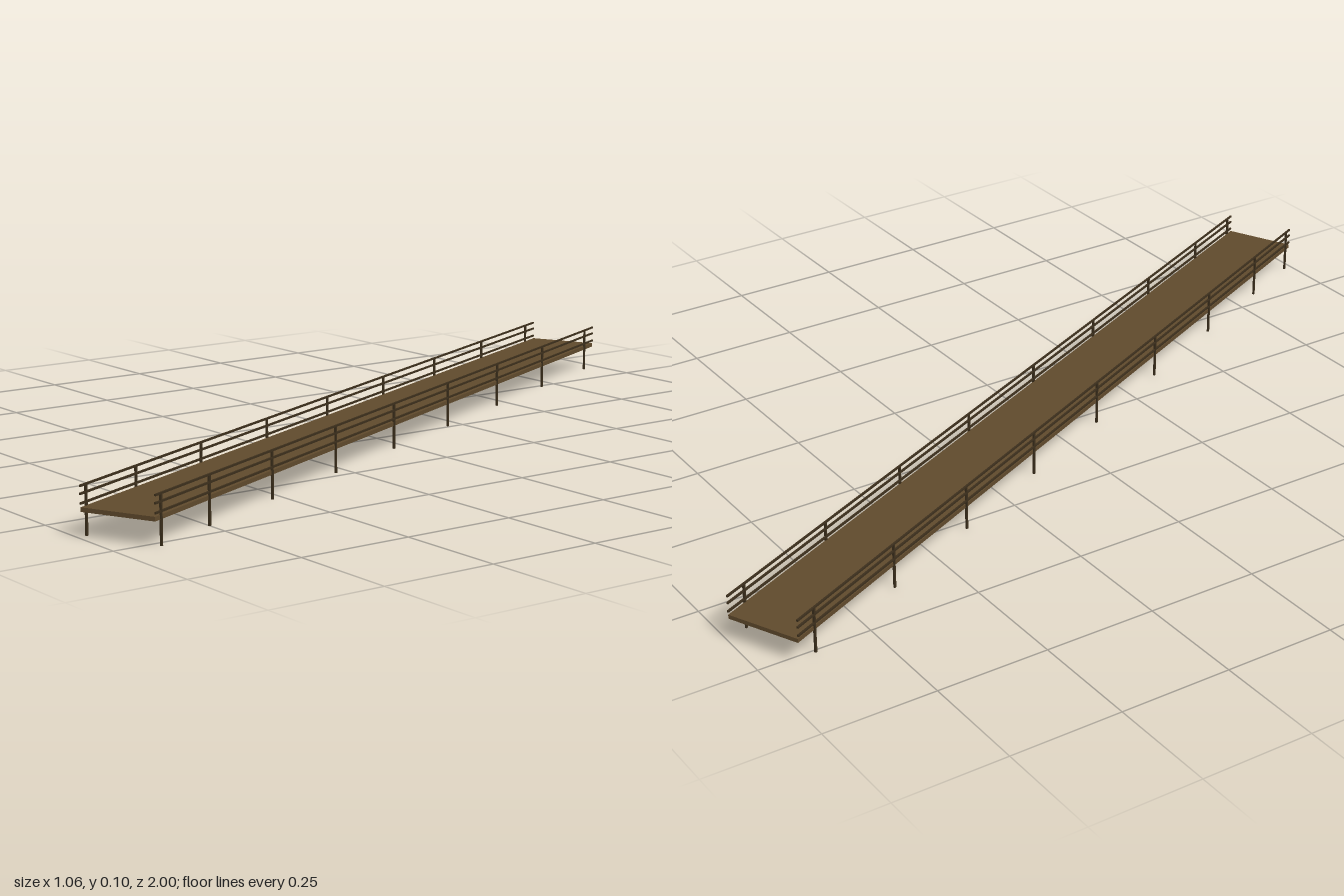
import * as THREE from 'three';

export function createModel() {
  const model = new THREE.Group();
  model.name = 'footbridge';
  const deckWood = new THREE.MeshStandardMaterial({ color: 0x604a2c });
  deckWood.name = 'deck brown';
  const railWood = new THREE.MeshStandardMaterial({ color: 0x3c2f1c });
  railWood.name = 'rail dark brown';

  const length = 2.126, width = 0.166;

  // The whole bridge runs diagonally across the ground
  const bridge = new THREE.Group();
  bridge.name = 'bridge';
  bridge.rotation.y = 0.4415;
  model.add(bridge);

  function box(name, material, w, h, d, x, y, z) {
    const mesh = new THREE.Mesh(new THREE.BoxGeometry(w, h, d), material);
    mesh.name = name;
    mesh.position.set(x, y, z);
    bridge.add(mesh);
  }

  // Walking deck
  box('deck', deckWood, width, 0.009, length, 0, 0.0555, 0);

  // Posts and three rails on both sides
  const postPositions = [1.043, 0.868, 0.623, 0.352, 0.08, -0.194, -0.466, -0.736, -1.009];
  for (const side of [-1, 1]) {
    const x = side * 0.0835;
    for (const z of postPositions) box('post', railWood, 0.0045, 0.102, 0.0045, x, 0.051, z);
    for (const y of [0.067, 0.086, 0.1015]) box('rail', railWood, 0.004, 0.004, length, x, y, 0);
  }
  return model;
}
